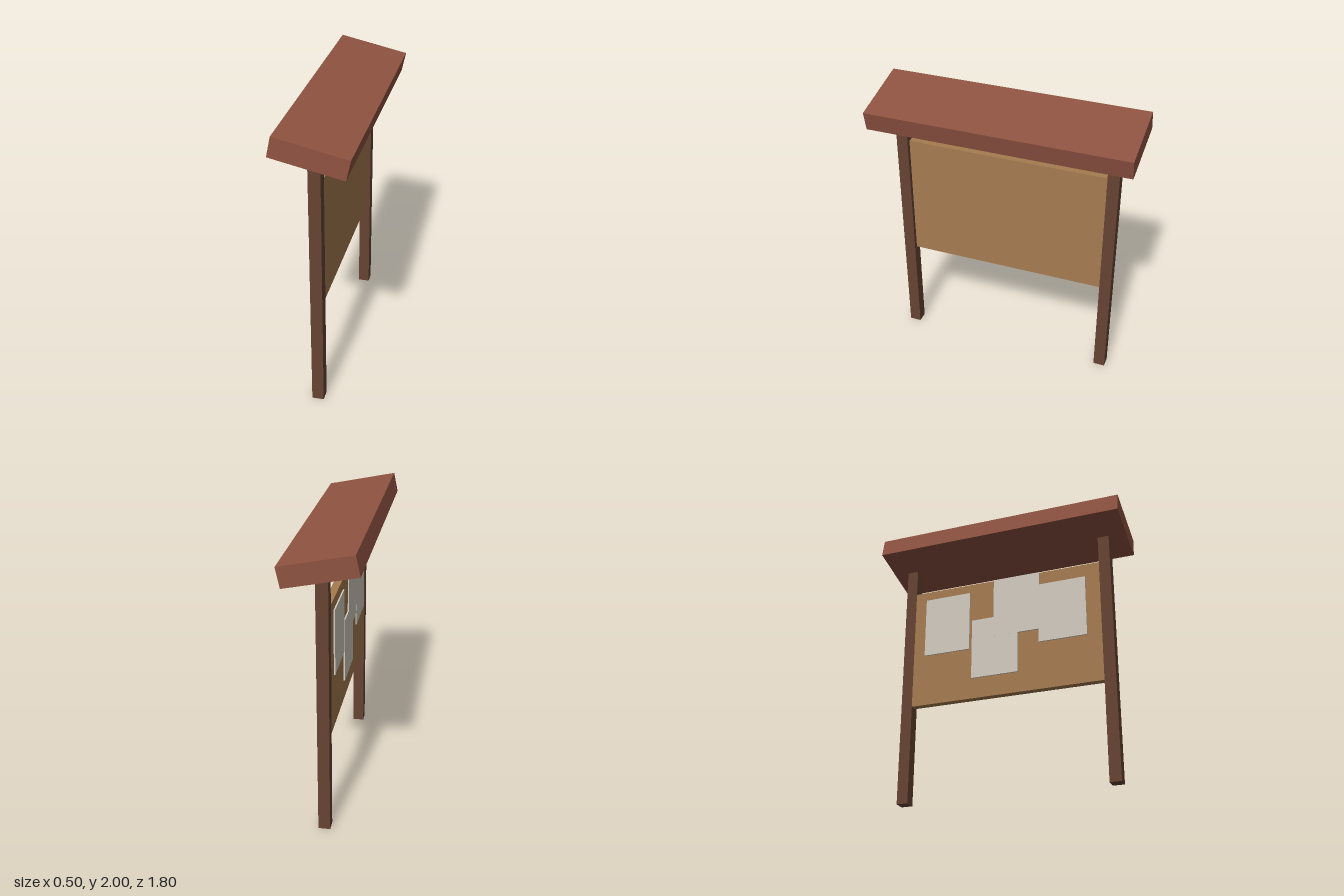
import * as THREE from 'three';

const mat = (name, color) => {
  const m = new THREE.MeshStandardMaterial({ color });
  m.name = name;
  return m;
};

export function createModel() {
  const group = new THREE.Group();
  group.name = 'noticeBoard';

  const postWood = mat('dark post wood', 0x664433);
  const roofWood = mat('red brown roof', 0x8f5341);
  const boardWood = mat('tan board', 0xa67c50);
  const paper = mat('paper', 0xd3ccc0);

  const box = (name, material, size, position) => {
    const mesh = new THREE.Mesh(new THREE.BoxGeometry(...size), material);
    mesh.name = name;
    mesh.position.set(...position);
    group.add(mesh);
    return mesh;
  };

  // Two square posts
  for (const side of [-1, 1]) {
    box(side > 0 ? 'frontPost' : 'backPost', postWood, [0.08, 1.8, 0.08], [0, 0.9, side * 0.74]);
  }

  // Panel between the posts, flush with their -x faces
  box('board', boardWood, [0.05, 0.9, 1.4], [-0.015, 1.15, 0]);

  // Sloping slab roof
  const roof = box('roof', roofWood, [0.485, 0.137, 1.8], [0, 1.883, 0]);
  roof.rotation.z = -THREE.MathUtils.degToRad(12);

  // Notices pinned to the -x side: [z, y] centres, outer faces stepped a hair to avoid flicker
  const notices = [[-0.44, 1.305], [-0.075, 1.075], [0.09, 1.375], [0.425, 1.275]];
  notices.forEach(([z, y], i) => {
    box(`notice${i + 1}`, paper, [0.0095, 0.45, 0.345], [-0.045 - i * 0.0003, y, z]);
  });

  return group;
}
